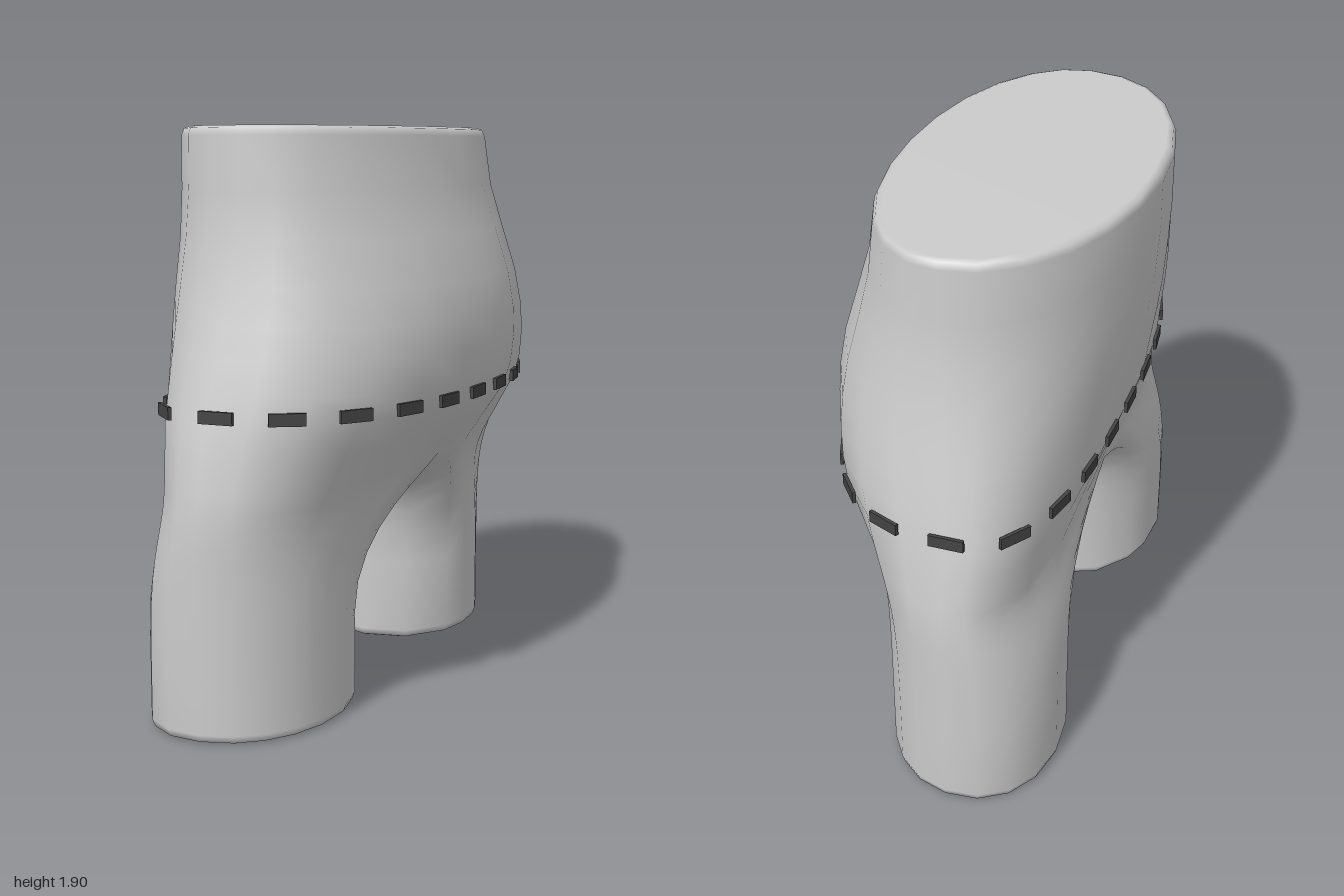
import * as THREE from 'three';
import { mergeVertices } from 'three/addons/utils/BufferGeometryUtils.js';

const V = (x, y, z) => new THREE.Vector3(x, y, z);
const { clamp, lerp, degToRad } = THREE.MathUtils;
const OUTER = 12; // segments round the outside of one half
const INNER = 4;  // segments across the crotch
const HIP_Y = 0.78;

// Torso sections: height, belly x, seat x, x of widest point, half width
const SECTIONS = [
  [1.9, -0.475, 0.33, -0.04, 0.77], [1.893, -0.495, 0.35, -0.04, 0.79],
  [1.87, -0.505, 0.362, -0.04, 0.797], [1.7, -0.505, 0.39, -0.04, 0.8],
  [1.55, -0.495, 0.44, -0.05, 0.815], [1.4, -0.478, 0.485, -0.06, 0.843],
  [1.28, -0.46, 0.502, -0.07, 0.872], [1.18, -0.442, 0.503, -0.08, 0.898],
  [1.08, -0.425, 0.487, -0.09, 0.923], [1.0, -0.412, 0.46, -0.1, 0.941],
  [0.9, -0.397, 0.405, -0.1, 0.964], [HIP_Y, -0.387, 0.34, -0.1, 0.983],
];

function sectionAt(y) {
  let i = 0;
  while (i < SECTIONS.length - 2 && y < SECTIONS[i + 1][0]) i++;
  const a = SECTIONS[i], b = SECTIONS[i + 1];
  const t = (y - a[0]) / (b[0] - a[0]);
  return a.map((v, k) => lerp(v, b[k], t));
}

// Point on the torso; theta runs from the belly round the side to the seat.
// The outline is nearly elliptical at the waist and squarer at the hips,
// and it tucks in on the centre line just above the crotch.
function torsoPoint(theta, y) {
  const [, front, back, mid, width] = sectionAt(y);
  const c = Math.cos(theta), s = Math.sin(theta);
  const low = clamp((1.6 - y) / 0.6, 0, 1);
  const n = c > 0 ? 2.1 + 0.75 * low : 2.1 + 0.3 * low;
  const r = (Math.abs(c) ** n + Math.abs(s) ** n) ** (-1 / n);
  const tuck = 0.04 * clamp((1 - y) / 0.22, 0, 1) * c ** 5;
  return V(mid + (c > 0 ? front - mid : mid - back) * c * r + tuck, y, width * s * r);
}

// Point on the leg outline, in the same order as the torso and crotch points
function legPoint(j, y, inset = 0) {
  const deg = j <= OUTER ? 60 + (240 / OUTER) * j : 300 + (120 / INNER) * (j - OUTER);
  const a = degToRad(deg);
  const r = 1 - 0.05 * Math.sin(2 * a);
  const soft = (v) => Math.sign(v) * Math.abs(v) ** 0.93 * r;
  return V(-0.1 - (0.297 - inset) * soft(Math.sin(a)), y, 0.625 - (0.373 - inset) * soft(Math.cos(a)));
}

function bodyGeometry() {
  const positions = [];
  const tri = (a, b, c) => {
    for (const p of [a, b, c]) positions.push(p.x, p.y, p.z);
    for (const p of [a, c, b]) positions.push(p.x, p.y, -p.z); // mirrored half
  };
  const loft = (rows) => {
    for (let r = 0; r < rows.length - 1; r++) {
      for (let i = 0; i < rows[r].length - 1; i++) {
        const a = rows[r][i], b = rows[r + 1][i], c = rows[r + 1][i + 1], d = rows[r][i + 1];
        if (a.distanceTo(b) > 1e-5 && b.distanceTo(c) > 1e-5) tri(a, b, c);
        if (a.distanceTo(d) > 1e-5) tri(a, c, d);
      }
    }
  };
  const angle = (i) => (Math.PI * i) / OUTER;
  const halfRow = (f) => Array.from({ length: OUTER + 1 }, (_, i) => f(angle(i)));

  // Torso, from the flat top down to the hip line
  const torsoRows = SECTIONS.map((s) => halfRow((t) => torsoPoint(t, s[0])));
  loft([halfRow(() => V(-0.07, 1.9, 0)), ...torsoRows]);

  // Crotch bridge closes the hip line into a leg opening
  const hip = torsoRows[torsoRows.length - 1];
  const bridge = [V(0.15, 0.675, 0), V(-0.04, 0.655, 0), V(-0.22, 0.675, 0)];
  const opening = [...hip, ...bridge, hip[0]];

  // Leg, curving from the opening into a straight column
  const paths = opening.map((p, j) => {
    const foot = legPoint(j, 0.3);
    let pull;
    if (j > OUTER && j < OUTER + INNER) pull = V(0, 0, 0.24);
    else if (j % OUTER === 0 || j === OUTER + INNER) pull = V(0, -0.07, 0.23);
    else pull = torsoPoint(angle(j), HIP_Y - 0.12).sub(p);
    if (j === 1 || j === OUTER - 1) pull.z += 0.1;
    return new THREE.CubicBezierCurve3(p, p.clone().add(pull), foot.clone().add(V(0, 0.27, 0)), foot);
  });
  const legRow = (f) => paths.map((_, j) => f(j));
  const rows = [opening];
  for (let k = 1; k <= 7; k++) rows.push(paths.map((c) => c.getPoint(k / 7)));
  rows.push(legRow((j) => legPoint(j, 0.03)));
  rows.push(legRow((j) => legPoint(j, 0.007, 0.008)));
  rows.push(legRow((j) => legPoint(j, 0, 0.027)));
  rows.push(legRow(() => V(-0.1, 0, 0.625)));
  loft(rows);

  const raw = new THREE.BufferGeometry();
  raw.setAttribute('position', new THREE.Float32BufferAttribute(positions, 3));
  const geometry = mergeVertices(raw, 1e-4);
  geometry.computeVertexNormals();
  return geometry;
}

// Thin dashes evenly spaced round the hips, just proud of the surface
function dashedLine() {
  const group = new THREE.Group();
  group.name = 'dashedLine';
  const y = 1.022, count = 21;
  const points = Array.from({ length: 48 }, (_, i) => {
    const p = torsoPoint((Math.PI * i) / 24, y);
    return p.add(V(p.x + 0.05, 0, p.z).setLength(0.009));
  });
  const curve = new THREE.CatmullRomCurve3(points, true);
  const geometry = new THREE.BoxGeometry(0.012, 0.04, 0.115);
  const material = new THREE.MeshStandardMaterial({ color: 0x444444 });
  for (let i = 0; i < count; i++) {
    const u = (i + 0.12) / count;
    const dash = new THREE.Mesh(geometry, material);
    dash.name = 'dash';
    dash.position.copy(curve.getPointAt(u));
    dash.lookAt(dash.position.clone().add(curve.getTangentAt(u)));
    group.add(dash);
  }
  return group;
}

export function createModel() {
  const model = new THREE.Group();
  model.name = 'hipsAndLegs';
  const body = new THREE.Mesh(bodyGeometry(), new THREE.MeshStandardMaterial({ color: 0xcccccc }));
  body.name = 'body';
  model.add(body, dashedLine());
  return model;
}
